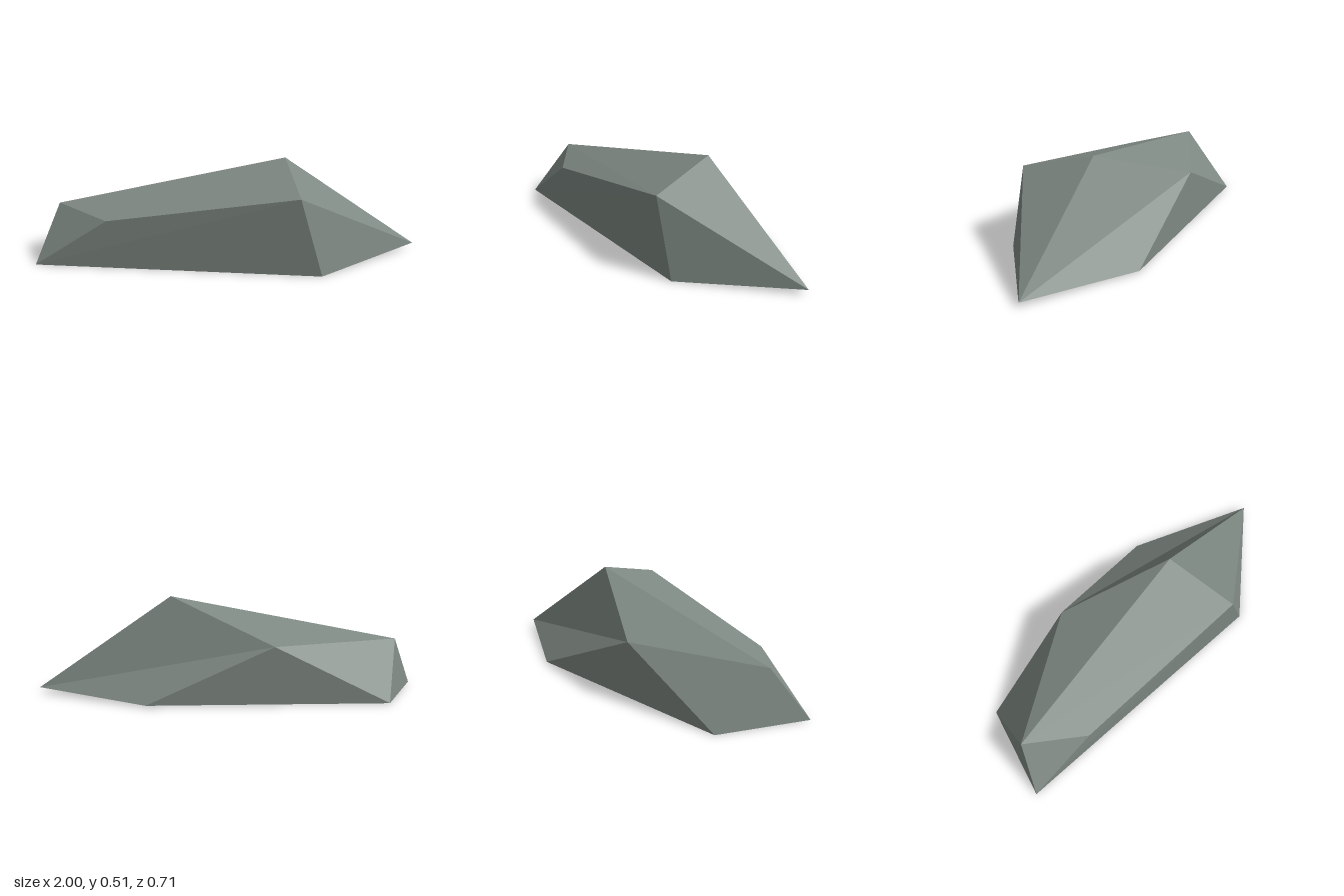
import * as THREE from 'three';

// Corners of the boulder
const corners = {
  rightTip: [-1, 0, 0.21],
  rightTop: [-0.89, 0.28, 0.03],
  frontShoulder: [-0.62, 0.255, 0.25],
  frontTop: [0.365, 0.41, 0.355],
  peak: [0.3, 0.515, -0.03],
  frontFoot: [0.48, 0, 0.355],
  leftTip: [1, 0.028, -0.055],
  backFoot: [0.41, 0.008, -0.357],
  backShoulder: [-0.24, 0.3, -0.305],
  rightBackFoot: [-0.83, 0, -0.26],
};

// Facets as corner loops, counter-clockwise from outside
const facets = [
  // upper slopes
  ['rightTip', 'frontShoulder', 'rightTop'],
  ['rightTop', 'frontShoulder', 'frontTop', 'peak'],
  ['rightTop', 'peak', 'backShoulder'],
  ['rightTop', 'backShoulder', 'rightBackFoot'],
  // left end
  ['peak', 'leftTip', 'backShoulder'],
  ['backShoulder', 'leftTip', 'backFoot'],
  ['frontTop', 'leftTip', 'peak'],
  ['frontTop', 'frontFoot', 'leftTip'],
  // front, right end and back walls
  ['rightTip', 'frontFoot', 'frontTop', 'frontShoulder'],
  ['rightTip', 'rightTop', 'rightBackFoot'],
  ['rightBackFoot', 'backShoulder', 'backFoot'],
  // underside
  ['rightTip', 'rightBackFoot', 'backFoot', 'frontFoot'],
  ['frontFoot', 'backFoot', 'leftTip'],
];

// Fan each loop into separate triangles so every facet stays flat
function facetGeometry() {
  const positions = [];
  for (const loop of facets) {
    for (let i = 1; i < loop.length - 1; i++) {
      for (const name of [loop[0], loop[i], loop[i + 1]]) positions.push(...corners[name]);
    }
  }
  const geometry = new THREE.BufferGeometry();
  geometry.setAttribute('position', new THREE.Float32BufferAttribute(positions, 3));
  geometry.computeVertexNormals();
  return geometry;
}

export function createModel() {
  const stone = new THREE.MeshStandardMaterial({ color: 0x7f8983, flatShading: true });
  stone.name = 'grey green stone';

  const boulder = new THREE.Mesh(facetGeometry(), stone);
  boulder.name = 'boulder';

  const model = new THREE.Group();
  model.name = 'rock';
  model.add(boulder);
  return model;
}
